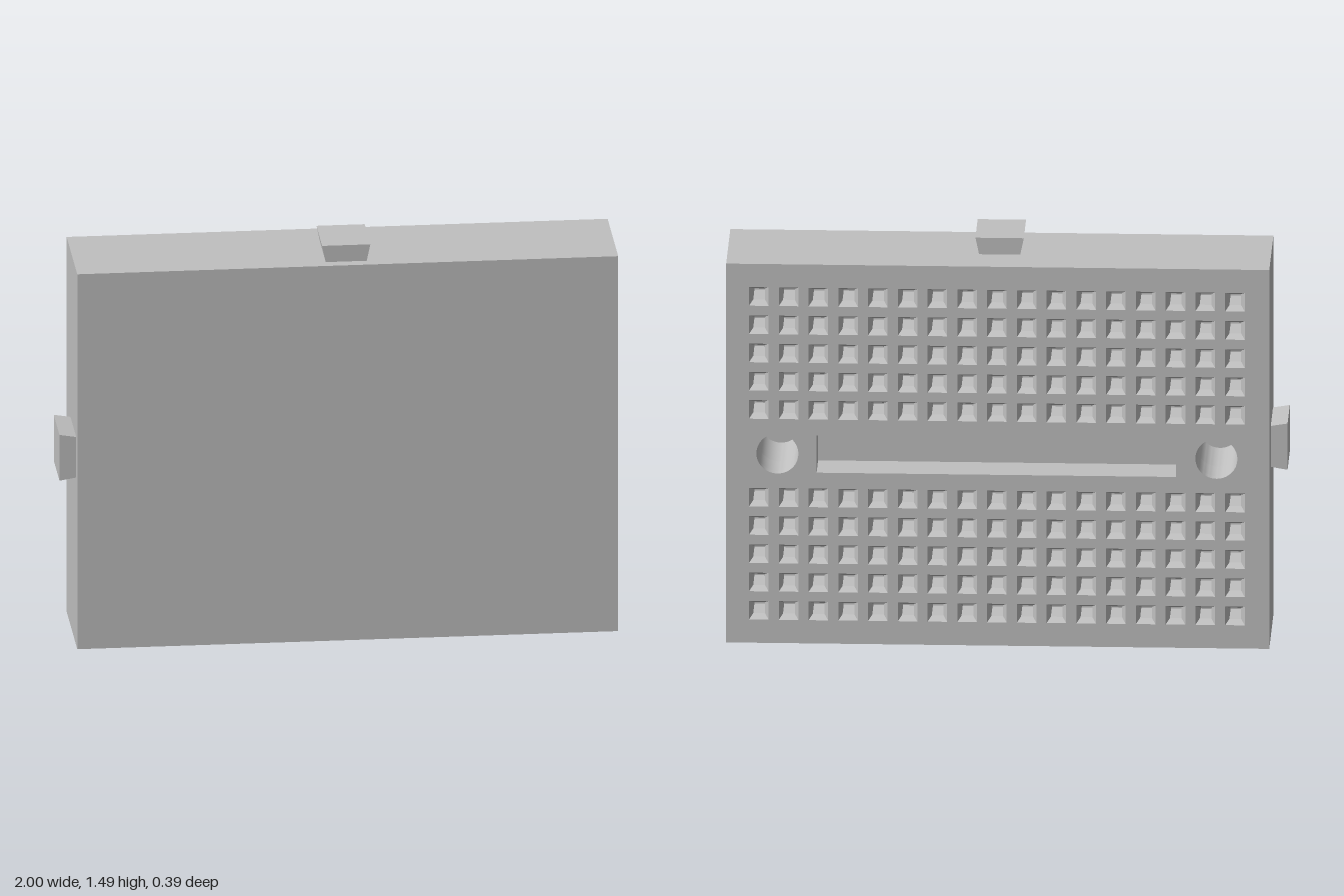
import * as THREE from 'three';
import { mergeGeometries, toCreasedNormals } from 'three/addons/utils/BufferGeometryUtils.js';

// Main measures
const L = -0.94, R = 1, H = 1.425, BACK = -0.195, FRONT = 0.195;
const CX = 0.033, CY = H / 2, PITCH = 0.1063;
const TAB_BACK = -0.055, TAB_FRONT = 0.155; // tabs and sockets share this span
const FUNNEL = 0.03, WIDE = 0.07, NARROW = 0.042;

const poly = (pts) => new THREE.Shape(pts.map(([x, y]) => new THREE.Vector2(x, y)));

const rect = (cx, cy, w, h) => poly([
  [cx - w / 2, cy - h / 2], [cx + w / 2, cy - h / 2],
  [cx + w / 2, cy + h / 2], [cx - w / 2, cy + h / 2],
]);

// Slab of a shape between two z values
function slab(shape, z0, z1) {
  const geo = new THREE.ExtrudeGeometry(shape, { depth: z1 - z0, bevelEnabled: false, curveSegments: 32 });
  geo.translate(0, 0, z0);
  return toCreasedNormals(geo, 0.5);
}

// Centres of all contact holes: 17 columns, five rows above and below the groove
function contactCentres() {
  const list = [];
  for (let c = -8; c <= 8; c++)
    for (let r = 0; r < 5; r++)
      for (const s of [-1, 1]) list.push([CX + c * PITCH, CY + s * (0.165 + r * PITCH)]);
  return list;
}

function addRoundHoles(shape) {
  for (const x of [-0.751, 0.817]) {
    const hole = new THREE.Path();
    hole.absarc(x, CY, 0.075, 0, Math.PI * 2, true);
    shape.holes.push(hole);
  }
}

export function createModel() {
  const model = new THREE.Group();
  const grey = new THREE.MeshStandardMaterial({ color: 0xc0c0c0, side: THREE.DoubleSide });
  grey.name = 'grey plastic';
  const add = (name, geo) => {
    const mesh = new THREE.Mesh(geo, grey);
    mesh.name = name;
    model.add(mesh);
  };
  const centres = contactCentres();

  // Closed front plate
  add('frontPlate', slab(rect((L + R) / 2, CY, R - L, H), TAB_FRONT, FRONT));

  // Middle layer, with dovetail sockets in the bottom and the left side
  const middle = poly([
    [L, 0], [-0.045, 0], [-0.058, 0.062], [0.115, 0.062], [0.102, 0],
    [R, 0], [R, 0.64], [0.938, 0.63], [0.938, 0.8], [R, 0.79], [R, H], [L, H],
  ]);
  addRoundHoles(middle);
  add('middleLayer', slab(middle, TAB_BACK, TAB_FRONT));

  // Contact layers: groove, round holes and square contact holes
  const contactLayer = (name, size, z0, z1) => {
    const shape = rect((L + R) / 2, CY, R - L, H);
    addRoundHoles(shape);
    shape.holes.push(rect(0.035, CY, 1.284, 0.14));
    for (const [x, y] of centres) shape.holes.push(rect(x, y, size, size));
    add(name, slab(shape, z0, z1));
  };
  contactLayer('contactLayer', NARROW, BACK + FUNNEL, TAB_BACK);
  contactLayer('backPlate', WIDE, BACK, BACK + FUNNEL);

  // Tapered mouths of the contact holes
  const funnel = new THREE.CylinderGeometry(NARROW / Math.SQRT2, WIDE / Math.SQRT2, FUNNEL, 4, 1, true)
    .rotateY(Math.PI / 4).rotateX(Math.PI / 2).toNonIndexed();
  funnel.computeVertexNormals();
  add('contactFunnels', mergeGeometries(
    centres.map(([x, y]) => funnel.clone().translate(x, y, BACK + FUNNEL / 2))));

  // Dovetail tabs on the top and the right side
  add('topTab', slab(poly([[-0.045, H], [0.102, H], [0.115, 1.487], [-0.058, 1.487]]), TAB_BACK, TAB_FRONT));
  add('sideTab', slab(poly([[L, 0.638], [L, 0.792], [-1, 0.802], [-1, 0.628]]), TAB_BACK, TAB_FRONT));

  return model;
}
